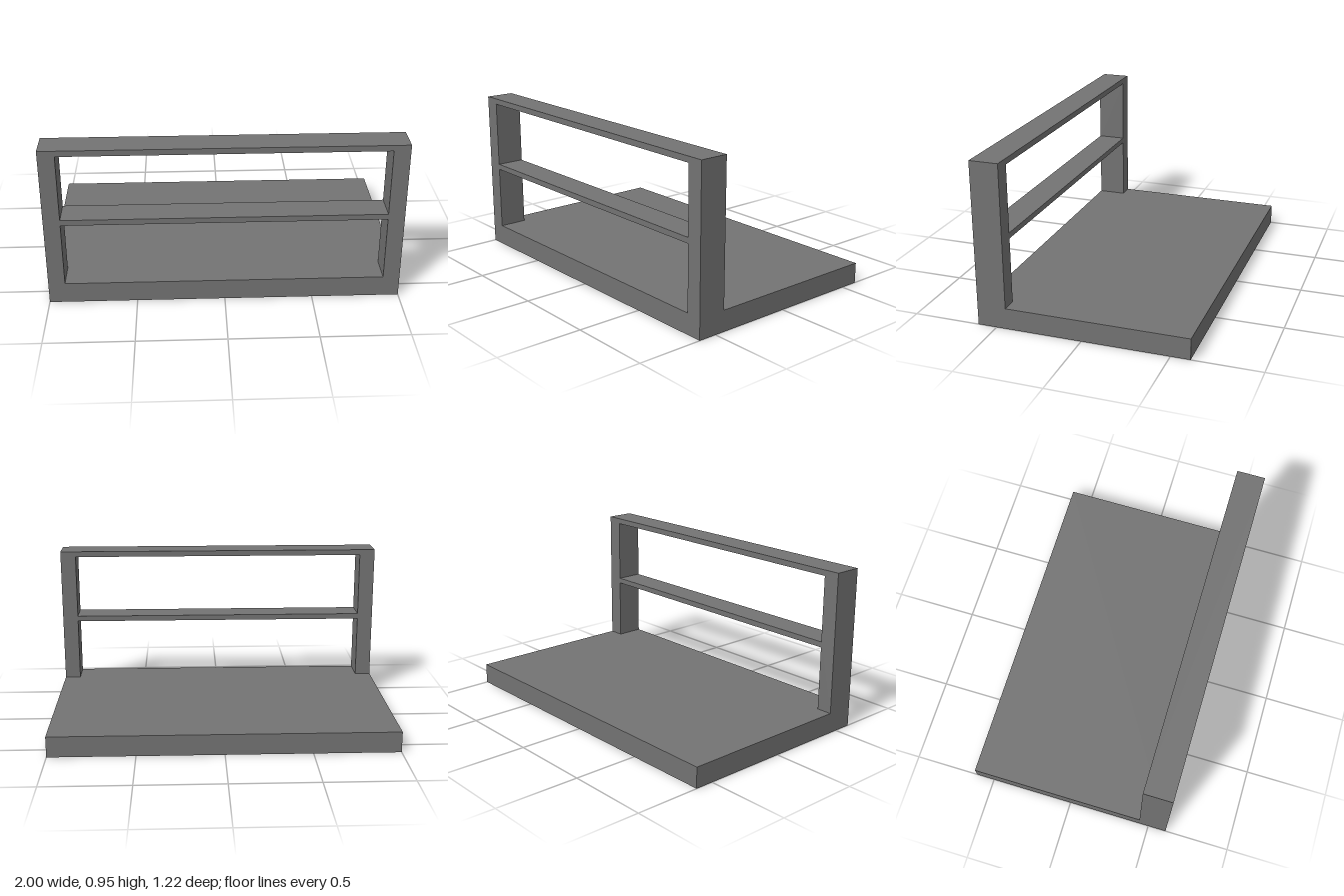
import * as THREE from 'three';

export function createModel() {
  const group = new THREE.Group();
  const material = new THREE.MeshStandardMaterial({ color: 0x737373 });

  const halfW = 1, halfD = 0.61, baseTop = 0.122, top = 0.955;
  const innerX = 0.906, frameDepth = 0.168;
  const shelfBottom = 0.5, shelfTop = 0.533, railBottom = 0.921;

  const add = (name, geometry, x, y, z) => {
    const mesh = new THREE.Mesh(geometry, material);
    mesh.name = name;
    mesh.position.set(x, y, z);
    group.add(mesh);
  };
  const points = (list) => list.map(([x, y]) => new THREE.Vector2(x, y));

  // Flat base slab
  add('base', new THREE.BoxGeometry(2 * halfW, baseTop, 2 * halfD), 0, baseTop / 2, 0);

  // Upright frame along the front edge: two posts, top rail and middle shelf in one piece,
  // open at the bottom where it stands on the base
  const outline = new THREE.Shape(points([
    [-halfW, baseTop], [-innerX, baseTop], [-innerX, shelfBottom], [innerX, shelfBottom],
    [innerX, baseTop], [halfW, baseTop], [halfW, top], [-halfW, top],
  ]));
  outline.holes.push(new THREE.Path(points([
    [-innerX, shelfTop], [-innerX, railBottom], [innerX, railBottom], [innerX, shelfTop],
  ])));
  const frame = new THREE.ExtrudeGeometry(outline, { depth: frameDepth, bevelEnabled: false });
  add('frontFrame', frame, 0, 0, halfD - frameDepth);

  return group;
}
